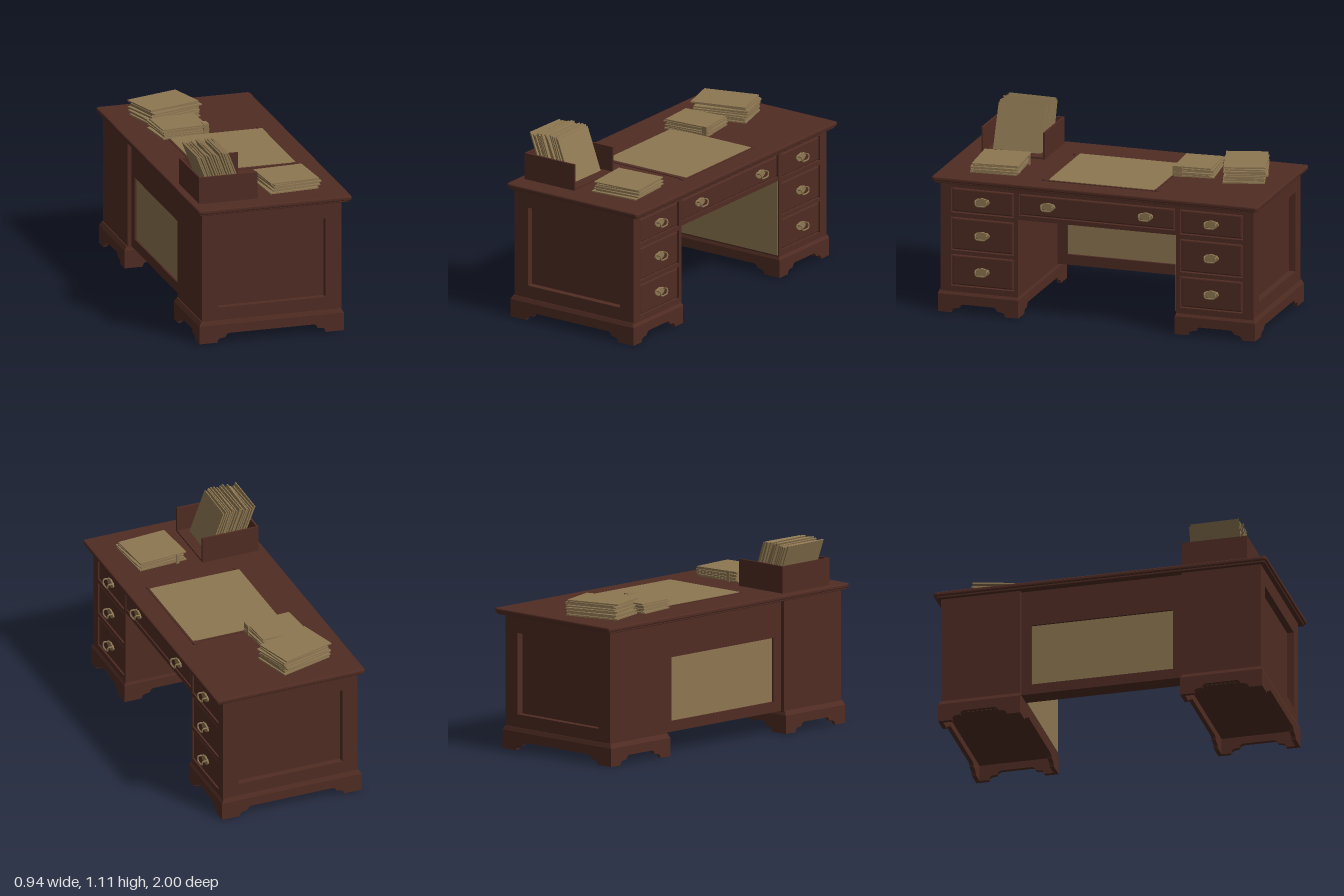
import * as THREE from 'three';

const wood = new THREE.MeshStandardMaterial({ color: 0x502c23 });
wood.name = 'dark wood';
const tan = new THREE.MeshStandardMaterial({ color: 0x8e7752 });
tan.name = 'parchment tan';

export function createModel() {
  const desk = new THREE.Group();
  desk.name = 'desk';

  const add = (name, geo, mat = wood, parent = desk) => {
    const m = new THREE.Mesh(geo, mat);
    m.name = name;
    parent.add(m);
    return m;
  };
  // box given by its limits on each axis
  const box = (name, x0, x1, y0, y1, z0, z1, mat = wood, parent = desk) => {
    const m = add(name, new THREE.BoxGeometry(x1 - x0, y1 - y0, z1 - z0), mat, parent);
    m.position.set((x0 + x1) / 2, (y0 + y1) / 2, (z0 + z1) / 2);
    return m;
  };
  const rect = (P, x0, x1, y0, y1) => {
    const p = new P();
    p.moveTo(x0, y0); p.lineTo(x1, y0); p.lineTo(x1, y1); p.lineTo(x0, y1); p.closePath();
    return p;
  };
  const extrude = (shape, depth, bevel = 0) => new THREE.ExtrudeGeometry(shape, {
    depth: depth - 2 * bevel, bevelEnabled: bevel > 0, bevelSize: bevel, bevelThickness: bevel,
    bevelOffset: -bevel, bevelSegments: 3, curveSegments: 8,
  }).translate(0, 0, bevel);
  // flat frame with rectangular holes
  const frame = (outer, holes, depth) => {
    const s = rect(THREE.Shape, ...outer);
    holes.forEach(h => s.holes.push(rect(THREE.Path, ...h)));
    return extrude(s, depth);
  };
  // rounded slab lying flat
  const slab = (name, hx, hz, r, y0, y1, bevel) => {
    const s = new THREE.Shape();
    s.moveTo(-hx + r, -hz); s.lineTo(hx - r, -hz); s.quadraticCurveTo(hx, -hz, hx, -hz + r);
    s.lineTo(hx, hz - r); s.quadraticCurveTo(hx, hz, hx - r, hz);
    s.lineTo(-hx + r, hz); s.quadraticCurveTo(-hx, hz, -hx, hz - r);
    s.lineTo(-hx, -hz + r); s.quadraticCurveTo(-hx, -hz, -hx + r, -hz);
    add(name, extrude(s, y1 - y0, bevel).rotateX(-Math.PI / 2)).position.y = y0;
  };

  // desk top with a stepped edge
  slab('deskTop', 0.468, 1, 0.02, 0.799, 0.825, 0.008);
  slab('topMoulding', 0.458, 0.988, 0.015, 0.788, 0.802, 0.004);

  // drawer pull: shaped back plate and a hanging bail
  const pull = (y, z) => {
    const g = new THREE.Group();
    g.name = 'drawerPull';
    g.position.set(0.41, y, z);
    desk.add(g);
    const s = new THREE.Shape();
    s.moveTo(-0.045, 0);
    s.quadraticCurveTo(-0.04, 0.024, -0.02, 0.02);
    s.quadraticCurveTo(0, 0.032, 0.02, 0.02);
    s.quadraticCurveTo(0.04, 0.024, 0.045, 0);
    s.quadraticCurveTo(0.035, -0.024, 0, -0.024);
    s.quadraticCurveTo(-0.035, -0.024, -0.045, 0);
    add('pullPlate', extrude(s, 0.012, 0.003).rotateY(Math.PI / 2), tan, g);
    const path = new THREE.CatmullRomCurve3([[0.008, 0.012, -0.034], [0.036, 0.012, -0.034], [0.04, -0.012, -0.028],
      [0.04, -0.016, 0], [0.04, -0.012, 0.028], [0.036, 0.012, 0.034], [0.008, 0.012, 0.034]]
      .map(p => new THREE.Vector3(...p)));
    add('pullBail', new THREE.TubeGeometry(path, 24, 0.005, 6), tan, g);
  };
  // drawer front with softened edges, set in a narrow gap
  const drawer = (y0, y1, z0, z1) => {
    const gap = 0.006;
    const geo = extrude(rect(THREE.Shape, -z1 + gap, -z0 - gap, y0 + gap, y1 - gap), 0.022, 0.008);
    add('drawerFront', geo.rotateY(Math.PI / 2)).position.x = 0.39;
  };

  // bracket-footed skirt board between a and b
  const skirt = (a, b, f) => {
    const s = new THREE.Shape();
    s.moveTo(a, 0); s.lineTo(a + f, 0);
    s.quadraticCurveTo(a + f + 0.004, 0.024, a + f + 0.022, 0.026);
    s.lineTo(a + f + 0.05, 0.03);
    s.quadraticCurveTo(a + f + 0.055, 0.05, a + f + 0.075, 0.053);
    s.lineTo(b - f - 0.075, 0.053);
    s.quadraticCurveTo(b - f - 0.055, 0.05, b - f - 0.05, 0.03);
    s.lineTo(b - f - 0.022, 0.026);
    s.quadraticCurveTo(b - f - 0.004, 0.024, b - f, 0);
    s.lineTo(b, 0); s.lineTo(b, 0.108); s.lineTo(a, 0.108); s.closePath();
    return extrude(s, 0.025);
  };

  const rows = [[0.16, 0.352], [0.375, 0.577], [0.604, 0.756]];
  for (const side of [1, -1]) {
    const span = (a, b) => (side > 0 ? [a, b] : [-b, -a]);

    // pedestal body, open recess on its outer end
    box('pedestalBody', -0.435, 0.39, 0.125, 0.79, ...span(0.485, 0.92));
    const end = frame([-0.435, 0.415, 0.125, 0.79], [[-0.34, 0.317, 0.21, 0.69]], 0.04);
    add('endFrame', end).position.z = side > 0 ? 0.92 : -0.96;

    // drawer face
    const [d0, d1] = span(0.51, 0.895), [p0, p1] = span(0.485, 0.921);
    const face = frame([-p1, -p0, 0.125, 0.79], rows.map(r => [-d1, -d0, ...r]), 0.025);
    add('drawerFrame', face.rotateY(Math.PI / 2)).position.x = 0.39;
    rows.forEach(([y0, y1]) => {
      drawer(y0, y1, d0, d1);
      pull((y0 + y1) / 2, side * 0.703);
    });

    // plinth with bracket feet, hollow underneath
    const [q0, q1] = span(0.48, 0.973);
    add('plinthSide', skirt(-0.455, 0.425, 0.11)).position.z = q0;
    add('plinthSide', skirt(-0.455, 0.425, 0.11)).position.z = q1 - 0.025;
    for (const x of [-0.455, 0.4])
      add('plinthFront', skirt(-q1, -q0, 0.08).rotateY(Math.PI / 2)).position.x = x;
    box('plinthFloor', -0.45, 0.42, 0.098, 0.11, q0 + 0.005, q1 - 0.005);
    box('plinthLining', -0.43, -0.425, 0.054, 0.098, ...span(0.56, 0.895), tan);
    // sloped moulding between plinth and body
    const mould = new THREE.BoxGeometry(0.88, 0.025, 0.493);
    const p = mould.attributes.position;
    for (let i = 0; i < p.count; i++)
      if (p.getY(i) > 0) p.setXYZ(i, p.getX(i) * 0.967, 0.0125, p.getZ(i) * 0.965);
    mould.computeVertexNormals();
    add('plinthMoulding', mould).position.set(-0.015, 0.1205, (q0 + q1) / 2);
  }

  // tan lining on one inner wall of the kneehole
  box('kneeholeLining', -0.3, 0.41, 0.135, 0.6, -0.486, -0.481, tan);

  // middle drawer section
  box('middleCase', -0.41, 0.39, 0.6, 0.79, -0.486, 0.486);
  const rail = frame([-0.486, 0.486, 0.595, 0.79], [[-0.48, 0.48, 0.622, 0.756]], 0.022);
  add('middleRail', rail.rotateY(Math.PI / 2)).position.x = 0.39;
  drawer(0.622, 0.756, -0.48, 0.48);
  pull(0.69, 0.3);
  pull(0.69, -0.3);

  // modesty panel
  const back = frame([-0.486, 0.486, 0.13, 0.601], [[-0.425, 0.425, 0.192, 0.57]], 0.11);
  add('modestyFrame', back.rotateY(Math.PI / 2)).position.x = -0.41;
  box('modestyPanel', -0.398, -0.315, 0.19, 0.572, -0.427, 0.427, tan);

  // writing pad with corner holders
  box('padBase', -0.243, 0.343, 0.824, 0.829, -0.335, 0.347);
  box('padSheet', -0.233, 0.333, 0.827, 0.832, -0.324, 0.324, tan);
  for (const x of [-0.225, 0.325]) for (const z of [-0.343, 0.343]) {
    const c = add('padCorner', new THREE.CylinderGeometry(0.02, 0.022, 0.008, 16));
    c.position.set(x, 0.828, z);
  }

  // paper piles
  let seed = 7;
  const rnd = () => ((seed = (seed * 16807) % 2147483647) / 2147483647) - 0.5;
  const pile = (x, z, w, d, h, angle, count) => {
    const g = new THREE.Group();
    g.name = 'paperPile';
    g.position.set(x, 0.825, z);
    g.rotation.y = angle;
    desk.add(g);
    const t = h / count;
    for (let i = 0; i < count; i++) {
      const m = add('folder', new THREE.BoxGeometry(w - 0.015 * (i % 2), t * 0.8, d - 0.012 * (i % 2)), tan, g);
      m.position.set(rnd() * 0.02, t * (i + 0.5), rnd() * 0.02);
      m.rotation.set(rnd() * 0.012, rnd() * 0.09, rnd() * 0.012);
    }
    return g;
  };
  const near = pile(0.172, 0.672, 0.3, 0.28, 0.063, 0.09, 7);
  pile(-0.14, -0.435, 0.29, 0.235, 0.06, 0.08, 6);
  pile(-0.135, -0.73, 0.335, 0.245, 0.098, 0.265, 9);
  box('ribbon', -0.105, -0.085, 0, 0.06, -0.15, -0.144, tan, near);
  box('ribbon', -0.02, 0.012, 0.825, 0.888, -0.385, -0.325, tan);

  // letter tray, open towards the sitter
  box('trayFloor', -0.425, -0.07, 0.825, 0.835, 0.485, 0.875);
  box('trayBack', -0.425, -0.413, 0.825, 0.985, 0.485, 0.875);
  box('trayWall', -0.425, -0.07, 0.825, 0.985, 0.863, 0.875);
  box('trayWall', -0.425, -0.07, 0.825, 0.985, 0.485, 0.497);

  // leaning papers in the tray
  for (let i = 0; i < 15; i++) {
    const h = 0.275 + rnd() * 0.02;
    const m = add('leaningPaper', new THREE.BoxGeometry(0.008, h, 0.295 + rnd() * 0.015), tan);
    m.position.set(-0.372 + i * 0.0137, 0.838 + h * 0.47, 0.675 + rnd() * 0.015);
    m.rotation.set(rnd() * 0.04, rnd() * 0.04, 0.34 + rnd() * 0.06);
  }
  return desk;
}
